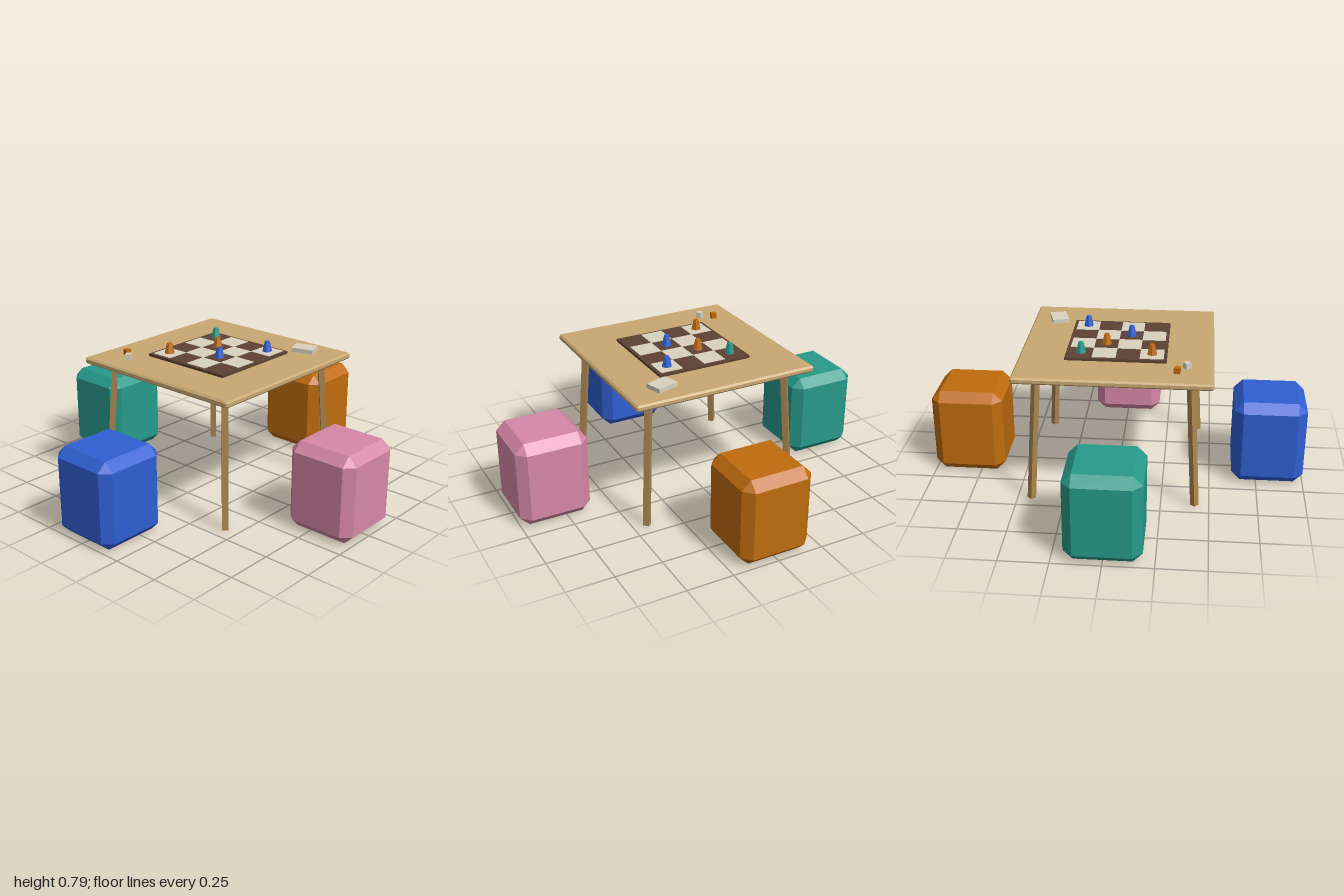
import * as THREE from 'three';
import { ConvexGeometry } from 'three/addons/geometries/ConvexGeometry.js';

const mat = (name, color) => {
  const m = new THREE.MeshStandardMaterial({ color });
  m.name = name;
  return m;
};

// Box with every edge cut by a flat bevel b, standing on y = 0
function chamferBox(w, h, d, b) {
  const pts = [];
  for (const x of [-1, 1]) for (const y of [-1, 1]) for (const z of [-1, 1]) {
    const p = new THREE.Vector3(x * w / 2, y * h / 2, z * d / 2);
    const cut = [x * b, y * b, z * b];
    for (let keep = 0; keep < 3; keep++) {
      const q = p.clone();
      for (let k = 0; k < 3; k++) if (k !== keep) q.setComponent(k, q.getComponent(k) - cut[k]);
      pts.push(q);
    }
  }
  return new ConvexGeometry(pts).translate(0, h / 2, 0);
}

const box = (w, h, d) => new THREE.BoxGeometry(w, h, d).translate(0, h / 2, 0);

// Faceted cylinder with flat normals
function facets(rTop, rBottom, h, sides) {
  const g = new THREE.CylinderGeometry(rTop, rBottom, h, sides).toNonIndexed();
  g.computeVertexNormals();
  return g;
}

export function createModel() {
  const model = new THREE.Group();
  model.name = 'gameTable';
  const wood = mat('tableWood', 0xc8a872);
  const legWood = mat('legWood', 0xa9844f);
  const dark = mat('darkBrown', 0x5e4233);
  const cream = mat('cream', 0xd9d2c0);
  const blue = mat('blue', 0x2f5fd2);
  const orange = mat('orange', 0xc06c0e);
  const pink = mat('pink', 0xd688a6);
  const teal = mat('teal', 0x279a8b);

  const add = (name, geo, material, x, y, z, turn = 0, parent = model) => {
    const m = new THREE.Mesh(geo, material);
    m.name = name;
    m.position.set(x, y, z);
    m.rotation.y = turn;
    parent.add(m);
    return m;
  };

  // Four bevelled stools around the table
  const stool = chamferBox(0.382, 0.465, 0.382, 0.048);
  const r = 0.809;
  add('leftStool', stool, orange, r, 0, 0);
  add('rightStool', stool, blue, -r, 0, 0);
  add('frontStool', stool, pink, 0, 0, r);
  add('backStool', stool, teal, 0, 0, -r);

  // Table top and splayed four-sided legs
  const under = 0.688, top = 0.722;
  add('tableTop', chamferBox(1, top - under, 1, 0.009), wood, 0, under, 0);
  const up = new THREE.Vector3(0, 1, 0);
  for (const sx of [-1, 1]) for (const sz of [-1, 1]) {
    const a = new THREE.Vector3(sx * 0.426, 0.002, sz * 0.426);
    const b = new THREE.Vector3(sx * 0.387, under + 0.004, sz * 0.387);
    const dir = b.clone().sub(a);
    const leg = add('tableLeg', facets(0.0225, 0.0225, dir.length(), 4), legWood,
      (a.x + b.x) / 2, (a.y + b.y) / 2, (a.z + b.z) / 2);
    leg.quaternion.setFromUnitVectors(up, dir.normalize());
  }

  // Chequered game board
  const board = new THREE.Group();
  board.name = 'gameBoard';
  model.add(board);
  const boardTop = top + 0.014, cell = 0.122;
  add('boardBase', box(0.52, 0.014, 0.52), dark, 0, top, 0, 0, board);
  const square = box(cell, 0.003, cell);
  for (let i = 0; i < 4; i++) for (let j = 0; j < 4; j++) {
    if ((i + j) % 2 === 0) {
      add('lightSquare', square, cream, (i - 1.5) * cell, boardTop, (j - 1.5) * cell, 0, board);
    }
  }

  // Playing pieces: [column, row, colour]
  const pawn = facets(0.014, 0.028, 0.056, 6).translate(0, 0.028, 0);
  for (const [i, j, m] of [[0, 0, orange], [3, 0, teal], [2, 1, orange], [1, 2, blue], [3, 3, blue]]) {
    add('pawn', pawn, m, (i - 1.5) * cell, boardTop + 0.001, (j - 1.5) * cell);
  }

  // Dice and card stack
  const die = box(0.03, 0.03, 0.03);
  add('orangeDie', die, orange, -0.317, top, -0.367, -0.2);
  add('creamDie', die, cream, -0.365, top, -0.305, 0.6);
  add('cardStack', box(0.09, 0.023, 0.122), cream, 0.36, top, 0.298, 0.29);

  return model;
}
